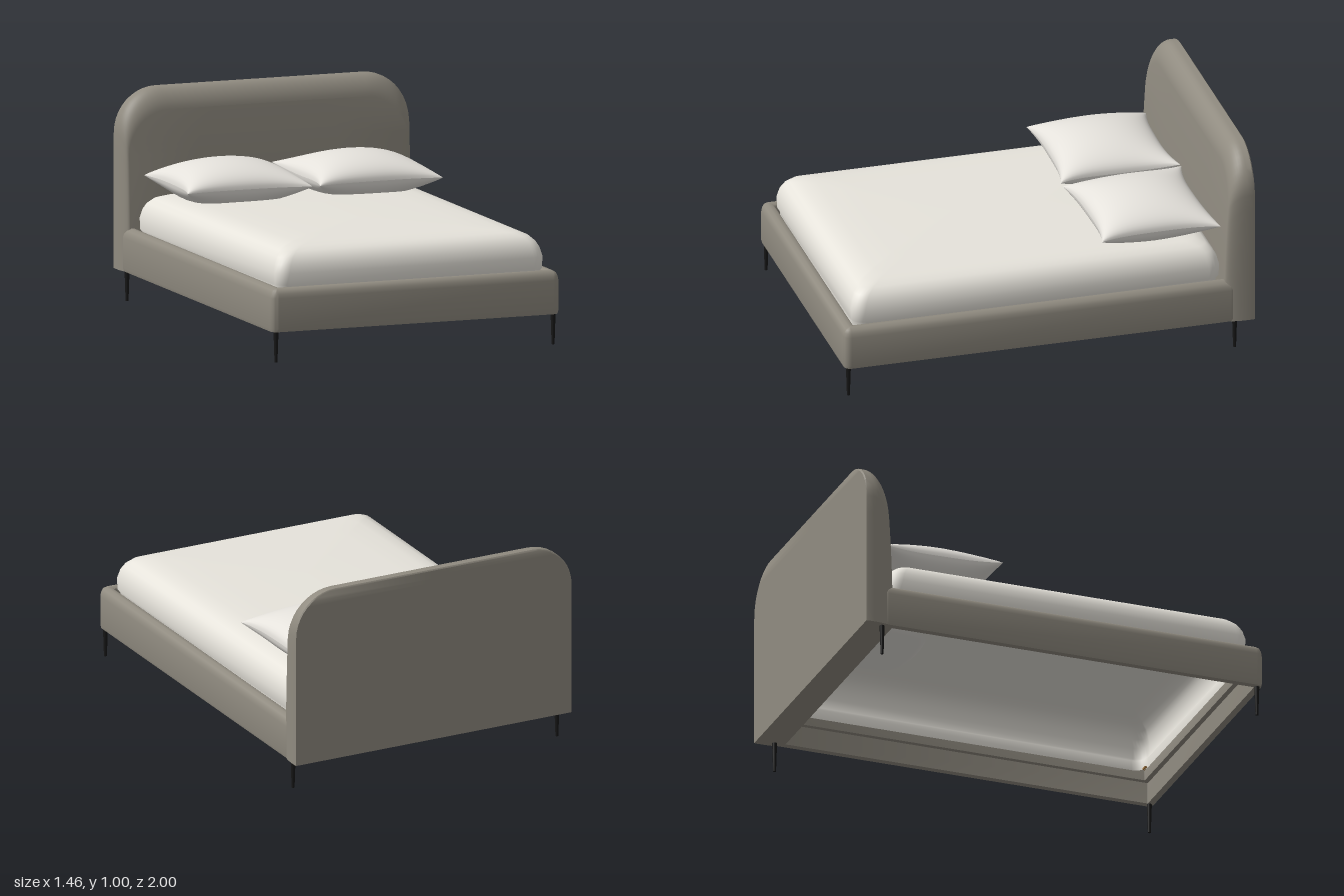
import * as THREE from 'three';
import { toCreasedNormals } from 'three/addons/utils/BufferGeometryUtils.js';

const material = (name, color, side = THREE.FrontSide) => {
  const m = new THREE.MeshStandardMaterial({ color, side });
  m.name = name;
  return m;
};

// Skin a list of closed rings that all have the same number of points.
function loft(rings, loop = false) {
  const n = rings[0].length, index = [];
  const last = loop ? rings.length : rings.length - 1;
  for (let i = 0; i < last; i++) {
    const k = (i + 1) % rings.length;
    for (let j = 0; j < n; j++) {
      const a = i * n + j, b = i * n + (j + 1) % n;
      const c = k * n + j, d = k * n + (j + 1) % n;
      index.push(a, c, b, b, c, d);
    }
  }
  const g = new THREE.BufferGeometry();
  g.setAttribute('position', new THREE.Float32BufferAttribute(rings.flat(2), 3));
  g.setIndex(index);
  g.computeVertexNormals();
  return g;
}

// Horizontal rounded rectangle at height y.
function roundedRing(hx, z0, z1, radius, y) {
  const r = Math.min(radius, hx), hz = (z1 - z0) / 2, zc = (z0 + z1) / 2, ring = [];
  const signs = [[1, 1], [-1, 1], [-1, -1], [1, -1]];
  signs.forEach(([sx, sz], q) => {
    for (let i = 0; i <= 6; i++) {
      const a = (q + i / 6) * Math.PI / 2;
      ring.push([sx * (hx - r) + r * Math.cos(a), y, zc + sz * (hz - r) + r * Math.sin(a)]);
    }
  });
  return ring;
}

// Upholstered rail around the mattress, open underneath, with an inner ledge.
function railGeometry() {
  const profile = [[0.004, 0.145], [0, 0.16], [0, 0.305], [0.004, 0.325], [0.012, 0.34],
    [0.028, 0.35], [0.045, 0.35], [0.056, 0.342], [0.06, 0.325], [0.06, 0.25],
    [0.036, 0.25], [0.036, 0.145]];
  const rings = profile.map(([d, y]) =>
    roundedRing(0.726 - d, -0.92 + d, 0.995 - d, Math.max(0.035 - d, 0.004), y));
  return toCreasedNormals(loft(rings, true), 0.7);
}

// Soft mattress shell with rounded edges, open underneath.
function mattressGeometry() {
  const profile = [[0.013, 0.29], [0.012, 0.34], [0.001, 0.356], [0, 0.41], [0.01, 0.45],
    [0.026, 0.48], [0.052, 0.505], [0.095, 0.521], [0.16, 0.53], [0.3, 0.535], [0.676, 0.538]];
  return loft(profile.map(([d, y]) =>
    roundedRing(0.676 - d, -0.855 + d, 0.94 - d, 0.06, y)));
}

// Headboard: arched outline, flat back, front curving back towards the top.
function headboardGeometry() {
  const bottom = 0.145;
  const ring = (depth, e, spread) => {
    const hw = 0.731 - 0.03 * e, top = 1 - 0.1 * e, r = 0.21, half = [];
    for (let i = 0; i < 8; i++) half.push([hw, bottom + (top - r - bottom) * i / 8]);
    for (let i = 0; i <= 10; i++) {
      const a = i / 10 * Math.PI / 2;
      half.push([hw - r + r * Math.cos(a), top - r + r * Math.sin(a)]);
    }
    const outline = [...half, ...half.map(([x, y]) => [-x, y]).reverse()];
    return outline.map(([x, y]) => {
      const t = (y - bottom) / (1 - bottom);
      return [x * spread, y, -1 + depth * (0.142 - 0.043 * t * t)];
    });
  };
  const rings = [ring(1, 1, 0), ring(1, 1, 0.5)];
  for (let i = 10; i >= 0; i--) {
    const a = i / 10 * Math.PI / 2;
    rings.push(ring(0.3 + 0.7 * Math.sin(a), 1 - Math.cos(a), 1));
  }
  rings.push(ring(0.05, 0, 1), ring(0, 0.06, 1), ring(0, 0.06, 0));
  return toCreasedNormals(loft(rings), 0.7);
}

// One half of a pillow: a grid puffed up in the middle, with drawn-in sides.
// The back corner towards the bed's middle is lifted; inner is its x direction.
function pillowHalf(side, inner) {
  const g = new THREE.PlaneGeometry(2, 2, 28, 28);
  g.rotateX(-side * Math.PI / 2);
  const p = g.attributes.position;
  for (let i = 0; i < p.count; i++) {
    const u = Math.sin(p.getX(i) * Math.PI / 2), v = Math.sin(p.getZ(i) * Math.PI / 2);
    const puff = Math.pow(Math.max(0, (1 - u * u) * (1 - v * v)), 0.45);
    const height = side > 0 ? 0.11 * puff : -0.075 * Math.min(1, 1.5 * puff);
    const lift = 0.025 * u * u * v * v * (1 + u * inner) / 2 * (1 - v) / 2;
    p.setXYZ(i,
      0.312 * u * (1 - 0.1 * (1 - Math.abs(v) ** 3)),
      0.6 + lift + height,
      0.29 * v * (1 - 0.1 * (1 - Math.abs(u) ** 3)));
  }
  g.computeVertexNormals();
  return g;
}

export function createModel() {
  const bed = new THREE.Group();
  bed.name = 'bed';
  const fabric = material('taupe fabric', 0x908b80);
  const linen = material('mattress linen', 0xe6e3db, THREE.DoubleSide);
  const cotton = material('pillow cotton', 0xe4e1db);
  const metal = material('black metal', 0x161616);
  const tan = material('tan trim', 0xa8793f);

  const add = (parent, name, geometry, mat) => {
    const mesh = new THREE.Mesh(geometry, mat);
    mesh.name = name;
    parent.add(mesh);
    return mesh;
  };

  add(bed, 'rail', railGeometry(), fabric);
  add(bed, 'headboard', headboardGeometry(), fabric);
  add(bed, 'mattress', mattressGeometry(), linen);

  // Small tan slivers at the mattress edge: behind the pillow and under a corner
  add(bed, 'mattressTrim', new THREE.BoxGeometry(0.08, 0.008, 0.012), tan)
    .position.set(-0.24, 0.5, -0.846);
  add(bed, 'cornerTrim', new THREE.BoxGeometry(0.03, 0.008, 0.012), tan)
    .position.set(0.63, 0.295, 0.92);

  // Pair of pillows
  for (const s of [1, -1]) {
    const pillow = new THREE.Group();
    pillow.name = s > 0 ? 'leftPillow' : 'rightPillow';
    add(pillow, 'pillowTop', pillowHalf(1, -s), cotton);
    add(pillow, 'pillowBottom', pillowHalf(-1, -s), cotton);
    pillow.position.set(s * 0.325, 0, -0.565);
    pillow.rotation.y = s * 0.02;
    bed.add(pillow);
  }

  // Slim tapered legs
  for (const s of [1, -1]) {
    for (const [name, z] of [['frontLeg', 0.97], ['backLeg', -0.91]]) {
      add(bed, name, new THREE.CylinderGeometry(0.012, 0.007, 0.15, 16), metal)
        .position.set(s * 0.698, 0.075, z);
    }
  }
  return bed;
}
